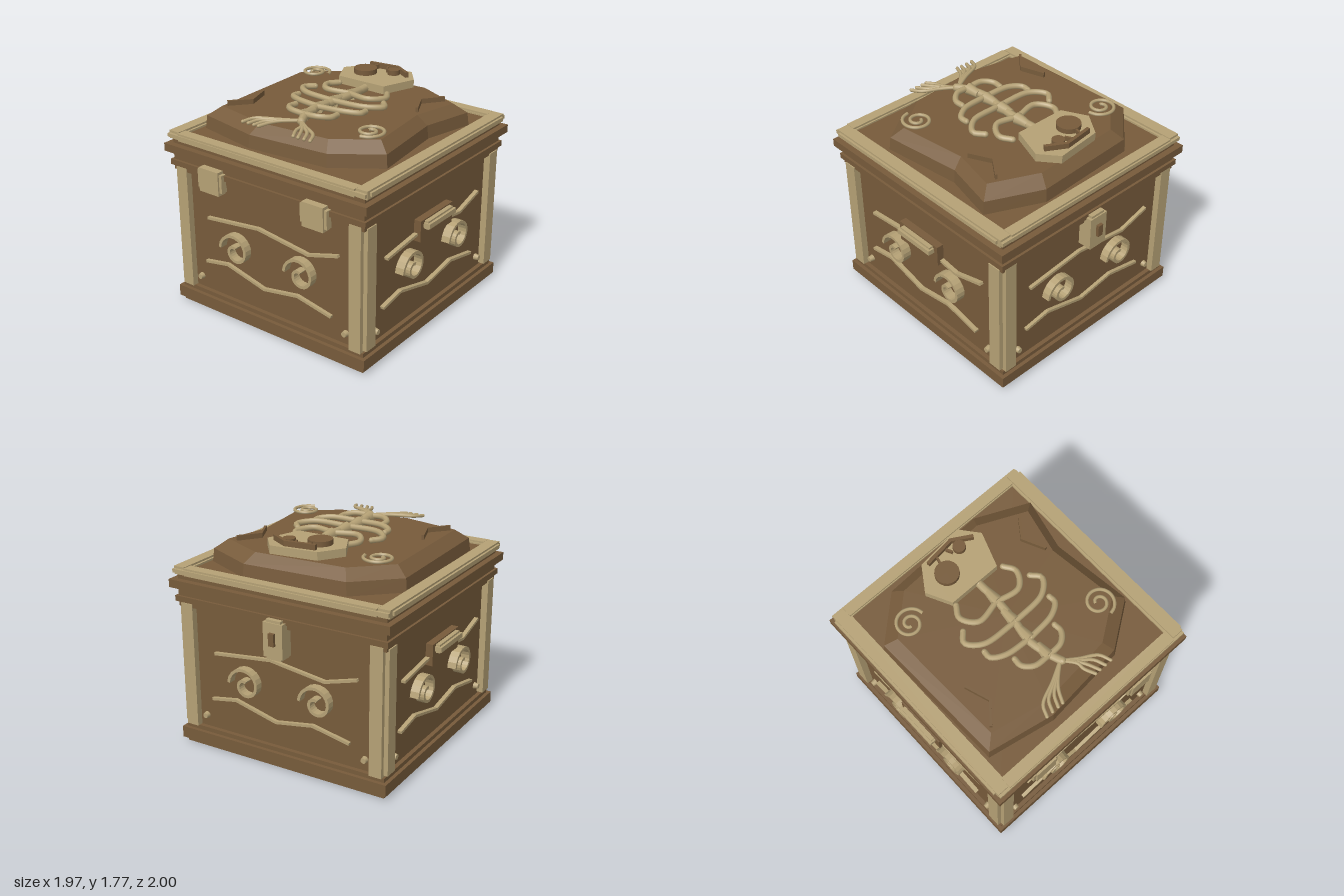
import * as THREE from 'three';

const mat = (name, color) => Object.assign(new THREE.MeshStandardMaterial({ color }), { name });
const CZ = 0.015; // depth centre of the box

export function createModel() {
  const brown = mat('dark wood', 0x775b3b);
  const cream = mat('bone trim', 0xb5a175);
  const root = new THREE.Group();

  const add = (name, geo, material, parent = root) => {
    const m = new THREE.Mesh(geo, material);
    m.name = name;
    parent.add(m);
    return m;
  };
  // box from min/max limits
  const box = (name, material, x0, x1, y0, y1, z0, z1, parent = root) => {
    const m = add(name, new THREE.BoxGeometry(x1 - x0, y1 - y0, z1 - z0), material, parent);
    m.position.set((x0 + x1) / 2, (y0 + y1) / 2, (z0 + z1) / 2);
    return m;
  };
  const layer = (name, material, h, y0, y1) => box(name, material, -h, h, y0, y1, CZ - h - 0.007, CZ + h + 0.007);
  const extrude = (shape, depth) => new THREE.ExtrudeGeometry(shape, { depth, bevelEnabled: false });
  // flat strip of constant width along a 2D polyline
  const ribbon = (pts, width) => {
    const p = pts.map(([x, y]) => new THREE.Vector2(x, y));
    const a = [], b = [];
    p.forEach((q, i) => {
      const t = p[Math.min(i + 1, p.length - 1)].clone().sub(p[Math.max(i - 1, 0)]).normalize();
      const n = new THREE.Vector2(-t.y, t.x).multiplyScalar(width / 2);
      a.push(q.clone().add(n));
      b.unshift(q.clone().sub(n));
    });
    return new THREE.Shape([...a, ...b]);
  };
  const spiral = (cx, cy, r0, r1, start, sweep, n = 26) => Array.from({ length: n + 1 }, (_, i) => {
    const t = i / n, a = start + sweep * t, r = r0 + (r1 - r0) * t;
    return [cx + r * Math.cos(a), cy + r * Math.sin(a)];
  });
  // flat plate lying on the lid, shape drawn as (x, -z)
  const flat = (name, shape, y0, y1, material) => {
    const m = add(name, extrude(shape, y1 - y0).rotateX(-Math.PI / 2), material);
    m.position.y = y0;
  };
  const flip = pts => pts.map(([x, z]) => [x, -z]);
  // round bone with rounded ends, points as (x, y, z)
  const bone = (name, pts, r, parent) => {
    const v = pts.map(p => new THREE.Vector3(...p));
    add(name, new THREE.TubeGeometry(new THREE.CatmullRomCurve3(v), 20, r, 8), cream, parent);
    for (const e of [v[0], v[v.length - 1]])
      add(name + 'End', new THREE.SphereGeometry(r, 8, 6), cream, parent).position.copy(e);
  };

  // chest body, base, rim and lid
  layer('base', brown, 0.905, 0, 0.165);
  layer('baseBand', brown, 0.935, 0.035, 0.13);
  layer('body', brown, 0.87, 0.16, 1.2);
  layer('rim', brown, 0.915, 1.17, 1.28);
  layer('rimBand', brown, 0.935, 1.21, 1.255);
  layer('lid', brown, 0.915, 1.28, 1.425);
  layer('lidBand', brown, 0.965, 1.325, 1.39);
  layer('lidPanel', brown, 0.87, 1.42, 1.46);

  // notched corner posts and top frame
  for (const sx of [-1, 1]) {
    for (const sz of [-1, 1]) {
      const post = (name, xa, xb, za, zb, y0, y1) => box(name, cream, Math.min(sx * xa, sx * xb),
        Math.max(sx * xa, sx * xb), y0, y1, CZ + Math.min(sz * za, sz * zb), CZ + Math.max(sz * za, sz * zb));
      post('cornerPostFront', 0.785, 0.89, 0.82, 0.93, 0.165, 1.2);
      post('cornerPostSide', 0.82, 0.925, 0.785, 0.895, 0.18, 1.185);
    }
    const x = sx * 0.893, z = CZ + sx * 0.9;
    box('frameSide', cream, x - 0.048, x + 0.048, 1.425, 1.49, CZ - 0.93, CZ + 0.93);
    box('frameSideBand', cream, x - 0.066, x + 0.066, 1.445, 1.475, CZ - 0.9, CZ + 0.9);
    box('frameEnd', cream, -0.84, 0.84, 1.425, 1.487, z - 0.04, z + 0.045);
    box('frameEndBand', cream, -0.94, 0.94, 1.443, 1.472, z - 0.053, z + 0.053);
  }

  // the same carved relief on all four walls
  for (let k = 0; k < 4; k++) {
    const wall = new THREE.Group();
    wall.name = 'wallRelief';
    wall.position.z = CZ;
    wall.rotation.y = k * Math.PI / 2;
    root.add(wall);
    const relief = (name, shape, z1) => { add(name, extrude(shape, z1 - 0.86), cream, wall).position.z = 0.86; };
    relief('upperLine', ribbon([[-0.61, 0.82], [-0.09, 0.878], [0.39, 0.812], [0.665, 0.89]], 0.022), 0.905);
    relief('lowerLine', ribbon([[-0.65, 0.425], [-0.42, 0.465], [-0.05, 0.37], [0.28, 0.425], [0.6, 0.36]], 0.022), 0.905);
    for (const cx of [-0.305, 0.335])
      relief('swirl', ribbon(spiral(cx, 0.63, 0.15, 0.03, Math.PI, -Math.PI * 2.6), 0.024), 0.943);
    for (const x of [-0.725, 0.725]) {
      const stud = add('stud', new THREE.CylinderGeometry(0.022, 0.03, 0.05, 10).rotateX(Math.PI / 2), cream, wall);
      stud.position.set(x, 0.26, 0.885);
    }
  }

  // front hinges
  for (const x of [-0.5, 0.5]) {
    box('hinge', cream, x - 0.122, x + 0.122, 1.115, 1.262, 0.93, 0.985);
    box('hingePlate', cream, x - 0.097, x + 0.097, 1.09, 1.285, 0.92, 0.998);
  }
  // back lock plate with keyhole block
  box('lockPlate', cream, -0.085, 0.085, 0.95, 1.225, -0.975, -0.86);
  box('lockPlateCore', cream, -0.065, 0.065, 0.93, 1.245, -0.965, -0.86);
  box('keyhole', brown, -0.024, 0.024, 1.05, 1.15, -1, -0.95);
  // side handles
  for (const s of [-1, 1]) {
    const side = (name, m, a, b, ...r) => box(name, m, Math.min(s * a, s * b), Math.max(s * a, s * b), ...r);
    side('handlePlate', brown, 0.86, 0.93, 0.805, 0.98, -0.205, 0.238);
    side('handleBar', cream, 0.92, 0.985, 0.915, 0.955, -0.17, 0.2);
    side('handleBarCore', cream, 0.92, 0.965, 0.9, 0.97, -0.155, 0.187);
  }

  // irregular bevelled slab on the lid
  const outline = [[-0.83, -0.46], [-0.5, -0.76], [0.38, -0.8], [0.81, -0.6], [0.71, -0.17],
    [0.79, 0.49], [0.43, 0.74], [-0.26, 0.8], [-0.8, 0.69]];
  const rings = [[1.45, 1], [1.565, 0.985], [1.64, 0.87]].map(([y, s]) => outline.map(([x, z]) => [x * s, y, z * s]));
  const tri = [];
  outline.forEach((_, i) => {
    const j = (i + 1) % outline.length;
    for (let r = 0; r < 2; r++) {
      const a = rings[r][i], b = rings[r][j], c = rings[r + 1][i], d = rings[r + 1][j];
      tri.push(...b, ...a, ...c, ...b, ...c, ...d);
    }
    tri.push(0, 1.64, 0, ...rings[2][j], ...rings[2][i]);
  });
  const slab = new THREE.BufferGeometry();
  slab.setAttribute('position', new THREE.Float32BufferAttribute(tri, 3));
  slab.computeVertexNormals();
  add('lidSlab', slab, brown);

  // skull with uneven eyes, brow and two small nose marks
  const skull = [[-0.35, -0.51], [-0.22, -0.7], [0.17, -0.74], [0.29, -0.59], [0.19, -0.31], [-0.25, -0.31]];
  flat('skull', new THREE.Shape(flip(skull).map(p => new THREE.Vector2(...p))), 1.665, 1.73, cream);
  for (const [x, z, r] of [[-0.13, -0.51, 0.095], [0.08, -0.61, 0.05]])
    add('eye', new THREE.CylinderGeometry(r, r, 0.045, 20), brown).position.set(x, 1.748, z);
  flat('brow', ribbon(flip([[-0.185, -0.66], [0.065, -0.69], [0.215, -0.6]]), 0.028), 1.725, 1.772, brown);
  flat('noseMark', ribbon(flip([[-0.1, -0.665], [-0.115, -0.6]]), 0.016), 1.725, 1.765, brown);
  flat('noseMark', ribbon(flip([[-0.01, -0.66], [0.015, -0.61]]), 0.016), 1.725, 1.765, brown);

  // spine, vertebrae and ribs
  const skeleton = new THREE.Group();
  skeleton.name = 'skeleton';
  root.add(skeleton);
  const Y = 1.68;
  bone('spine', [[0.01, Y, -0.31], [0.015, Y, -0.1], [0, Y, 0.1], [-0.025, Y, 0.27], [0.01, Y, 0.45], [0.05, 1.67, 0.55]], 0.033, skeleton);
  for (const [x, z] of [[0.015, -0.17], [0, 0.03], [-0.01, 0.21], [0, 0.4]])
    add('vertebra', new THREE.CylinderGeometry(0.05, 0.032, 0.12, 8).rotateX(Math.PI / 2), cream, skeleton).position.set(x, Y, z);
  const ribs = [[-0.11, 0.2, -0.08, 0.285, -0.2, 0.235, -0.295], [0.1, 0.29, 0.075, 0.39, -0.03, 0.335, -0.105],
    [0.27, 0.23, 0.245, 0.325, 0.18, 0.325, 0.12], [0.46, 0.13, 0.45, 0.2, 0.38, 0.2, 0.31]];
  for (const [z0, xa, za, xb, zb, xc, zc] of ribs)
    for (const s of [-1, 1])
      bone('rib', [[0, Y + 0.01, z0], [s * xa, Y + 0.015, za], [s * xb, Y + 0.005, zb], [s * xc, Y, zc]], 0.024, skeleton);
  // fan of thin bones at the end of the spine
  for (const s of [-1, 1])
    [0.32, 0.265, 0.21, 0.165].forEach((x, i) => bone('tailBone', [[0.04, 1.67, 0.54],
      [0.02 + s * (0.13 - i * 0.01), 1.67, 0.62 + i * 0.008], [s * (x - 0.04), 1.665, 0.70],
      [s * x, 1.655, 0.785]], 0.014, skeleton));

  // swirls and chevrons on the slab
  for (const [cx, cz, start] of [[-0.58, -0.42, 0], [0.57, 0.4, -Math.PI / 2]]) {
    const pts = spiral(cx, -cz, 0.125, 0.025, start, Math.PI * 3.4).map(([x, y]) => new THREE.Vector3(x, 1.67, -y));
    add('lidSwirl', new THREE.TubeGeometry(new THREE.CatmullRomCurve3(pts), 60, 0.014, 6), cream);
  }
  flat('lidChevron', ribbon(flip([[0.62, -0.53], [0.5, -0.37], [0.585, -0.19]]), 0.02), 1.635, 1.68, brown);
  flat('lidChevron', ribbon(flip([[-0.605, 0.22], [-0.54, 0.42], [-0.67, 0.57]]), 0.02), 1.635, 1.68, brown);

  return root;
}
